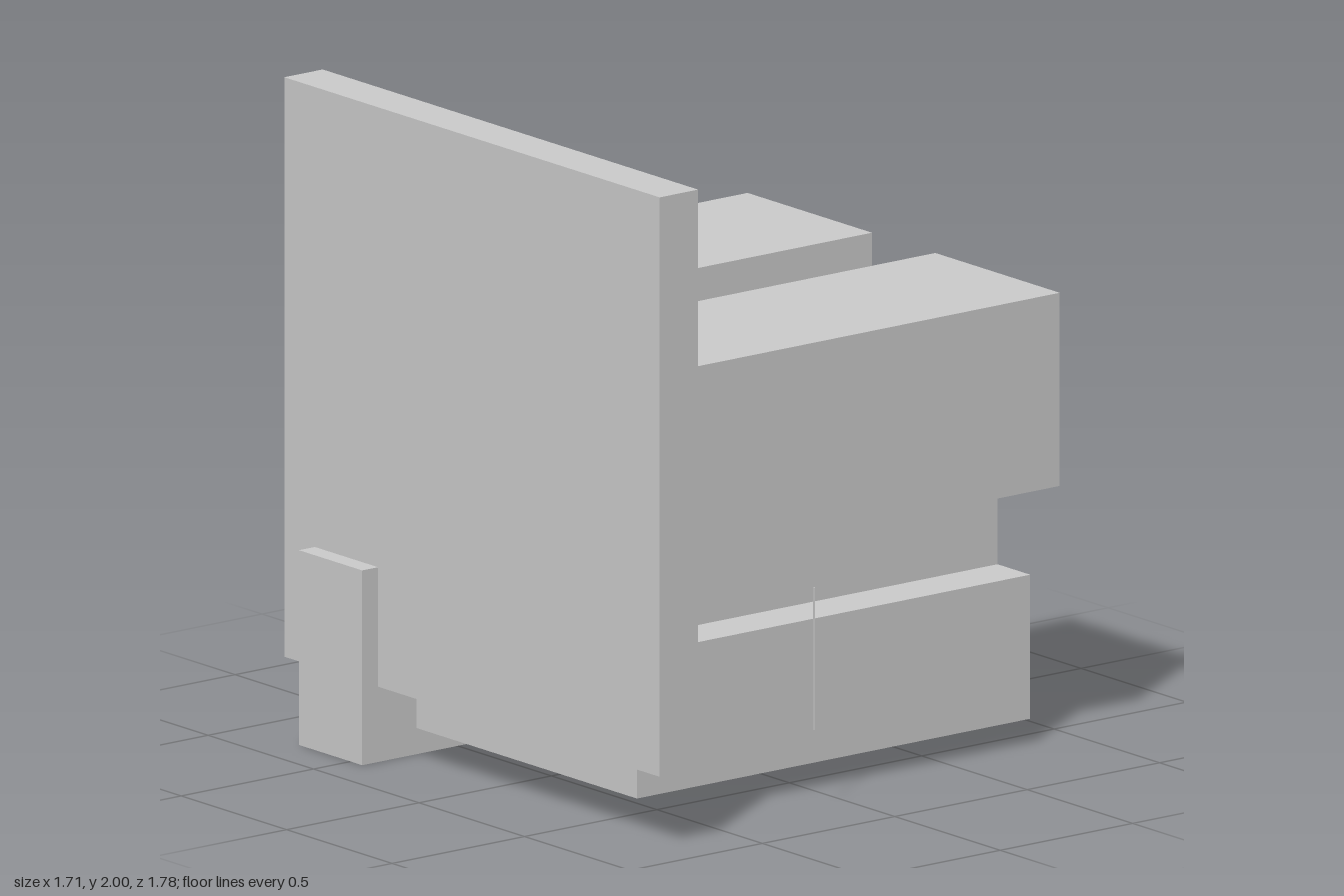
import * as THREE from 'three';

const grey = new THREE.MeshStandardMaterial({ color: 0xcccccc });
const teal = new THREE.MeshStandardMaterial({ color: 0x6cfff2 });

export function createModel() {
  const model = new THREE.Group();

  const add = (name, geometry, material = grey) => {
    const mesh = new THREE.Mesh(geometry, material);
    mesh.name = name;
    model.add(mesh);
    return mesh;
  };
  // box given by its limits on each axis
  const block = (name, [x0, x1], [y0, y1], [z0, z1], material) =>
    add(name, new THREE.BoxGeometry(x1 - x0, y1 - y0, z1 - z0), material)
      .position.set((x0 + x1) / 2, (y0 + y1) / 2, (z0 + z1) / 2);
  // outline in (z, y), drawn out along x
  const prism = (name, points, x0, x1, material) => {
    const shape = new THREE.Shape(points.map(([z, y]) => new THREE.Vector2(-z, y)));
    const g = new THREE.ExtrudeGeometry(shape, { depth: x1 - x0, bevelEnabled: false });
    g.rotateY(Math.PI / 2).translate(x0, 0, 0);
    return add(name, g, material);
  };
  // pipe with straight runs and mitred bends, points in (z, y) at a fixed x
  const pipe = (name, points, x, r = 0.008) => {
    const path = new THREE.CurvePath();
    const v = points.map(([z, y]) => new THREE.Vector3(x, y, z));
    for (let i = 1; i < v.length; i++) path.add(new THREE.LineCurve3(v[i - 1], v[i]));
    return add(name, new THREE.TubeGeometry(path, 60, r, 8));
  };
  // cable lying on the floor, points in (x, z)
  const cable = (points, r = 0.005) => {
    const curve = new THREE.CatmullRomCurve3(points.map(([x, z]) => new THREE.Vector3(x, 0.232, z)));
    return add('floorCable', new THREE.TubeGeometry(curve, 60, r, 6));
  };
  const disc = (name, r, depth, x, y, z, material) => {
    const g = new THREE.CylinderGeometry(r, r, depth, 24).rotateZ(Math.PI / 2);
    add(name, g, material).position.set(x, y, z);
  };
  const flange = (y, z, r = 0.045) =>
    add('pipeFlange', new THREE.CylinderGeometry(r, r, 0.012, 20)).position.set(-0.59, y, z);

  // main masses
  block('endWall', [-0.8, -0.655], [0.23, 2], [-0.89, 0.89]);
  block('floorSlab', [-0.655, 0.83], [0.08, 0.222], [-0.89, 0.6]);
  block('frontLowWall', [-0.655, 0.83], [0.222, 0.52], [0.445, 0.6]);
  block('backLowBlock', [-0.21, 0.69], [0.222, 0.67], [-0.74, -0.445]);
  block('cornerPillar', [-0.86, -0.41], [0, 0.595], [-0.745, -0.445]);
  block('centralCabinet', [-0.655, -0.565], [0.222, 0.54], [-0.145, 0.15]);

  for (const s of [1, -1]) {
    // overhead blocks with a sloping inner underside
    const outline = [[0.74, 1.41], [0.15, 1.41], [0.15, 0.82], [0.445, 0.52], [0.445, 0.82], [0.74, 0.82]];
    prism('overheadBlock', outline.map(([z, y]) => [z * s, y]), -0.655, 0.83);

    // sloping cylinder under each overhead block
    const tube = add('slopingCylinder', new THREE.CylinderGeometry(0.018, 0.018, 0.23, 16));
    tube.position.set(-0.62, 0.655, 0.285 * s);
    tube.rotation.x = -s * Math.PI / 4;
    tube.scale.x = 1.5;
    const cap = add('cylinderBracket', new THREE.BoxGeometry(0.05, 0.012, 0.075));
    cap.position.set(-0.625, 0.715, 0.17 * s);
    cap.rotation.x = -s * Math.PI / 4;

    // round wall ports
    disc('wallPort', 0.035, 0.03, -0.64, 0.62, 0.082 * s);
    for (const r of [0.038, 0.05]) {
      const ring = add('portRing', new THREE.TorusGeometry(r, 0.006, 8, 28).rotateY(Math.PI / 2));
      ring.position.set(-0.635, 0.62, 0.082 * s);
    }

    // low coloured troughs beside the walkway
    const zs = s > 0 ? [0.315, 0.445] : [-0.445, -0.31];
    block('sideTrough', [-0.2, 0.38], [0.25, 0.32], zs, teal);
    block('troughBase', [-0.2, 0.38], [0.222, 0.25], zs);
  }

  // riser pipes up the wall and their bends
  pipe('riserPipe', [[0.063, 1.65], [0.063, 0.85], [0.2, 0.7], [0.2, 0.45]], -0.642);
  pipe('riserPipe', [[0.035, 1.63], [0.035, 0.83], [0.175, 0.68], [0.175, 0.38], [0.27, 0.38]], -0.642);
  pipe('riserPipe', [[0.003, 1.52], [0.003, 0.54]], -0.642);
  pipe('riserPipe', [[-0.03, 1.63], [-0.03, 0.83], [-0.175, 0.68], [-0.175, 0.43], [-0.25, 0.43]], -0.642);
  pipe('riserPipe', [[-0.06, 1.65], [-0.06, 0.85], [-0.38, 0.51], [-0.38, 0.32]], -0.642);
  block('riserClamp', [-0.655, -0.63], [0.845, 0.86], [-0.08, 0.08]);
  for (const z of [-0.06, -0.03, 0.003, 0.035, 0.063]) disc('clampBolt', 0.006, 0.01, -0.626, 0.852, z);
  block('pipeCollar', [-0.655, -0.62], [0.43, 0.445], [0.165, 0.23]);
  block('pipeCollar', [-0.655, -0.62], [0.345, 0.41], [0.245, 0.257]);

  // pump unit on the front side
  block('pumpFrame', [-0.655, -0.6], [0.222, 0.515], [0.27, 0.445]);
  prism('pumpHousing', [[0.27, 0.34], [0.27, 0.45], [0.3, 0.48], [0.38, 0.48], [0.41, 0.45], [0.41, 0.34]],
    -0.6, -0.45, teal);
  block('pumpFoot', [-0.6, -0.47], [0.25, 0.34], [0.27, 0.32], teal);

  // valve with a vertical pipe on the back side
  pipe('valvePipe', [[-0.25, 0.68], [-0.25, 0.222]], -0.59, 0.028);
  for (const y of [0.5, 0.52, 0.36, 0.34]) flange(y, -0.25);
  disc('valveWheel', 0.05, 0.05, -0.54, 0.43, -0.25, teal);
  block('wallFitting', [-0.655, -0.61], [0.36, 0.48], [-0.445, -0.425]);

  // loose cables across the floor
  cable([[-0.57, -0.015], [-0.4, -0.06], [-0.23, -0.105], [-0.08, -0.08], [0.05, -0.02], [0.13, 0.04],
    [0.2, 0.105], [0.4, 0.13], [0.82, 0.14]]);
  cable([[-0.57, 0.01], [-0.42, 0.01], [-0.31, 0.05], [-0.22, 0.145], [-0.18, 0.3]]);
  for (const d of [0, 0.025])
    cable([[-0.34 + d, -0.3], [-0.27 + d, -0.15], [-0.2 + d, -0.03], [-0.12 + d, 0.09], [0 + d, 0.145], [0.15 + d, 0.19]]);
  cable([[-0.25, -0.24], [-0.11, -0.15], [0, -0.12], [0.12, -0.15], [0.4, -0.22], [0.85, -0.225]]);

  // slim upright rod in front
  add('uprightRod', new THREE.CylinderGeometry(0.003, 0.003, 0.435, 8)).position.set(-0.145, 0.465, 0.8);

  return model;
}
